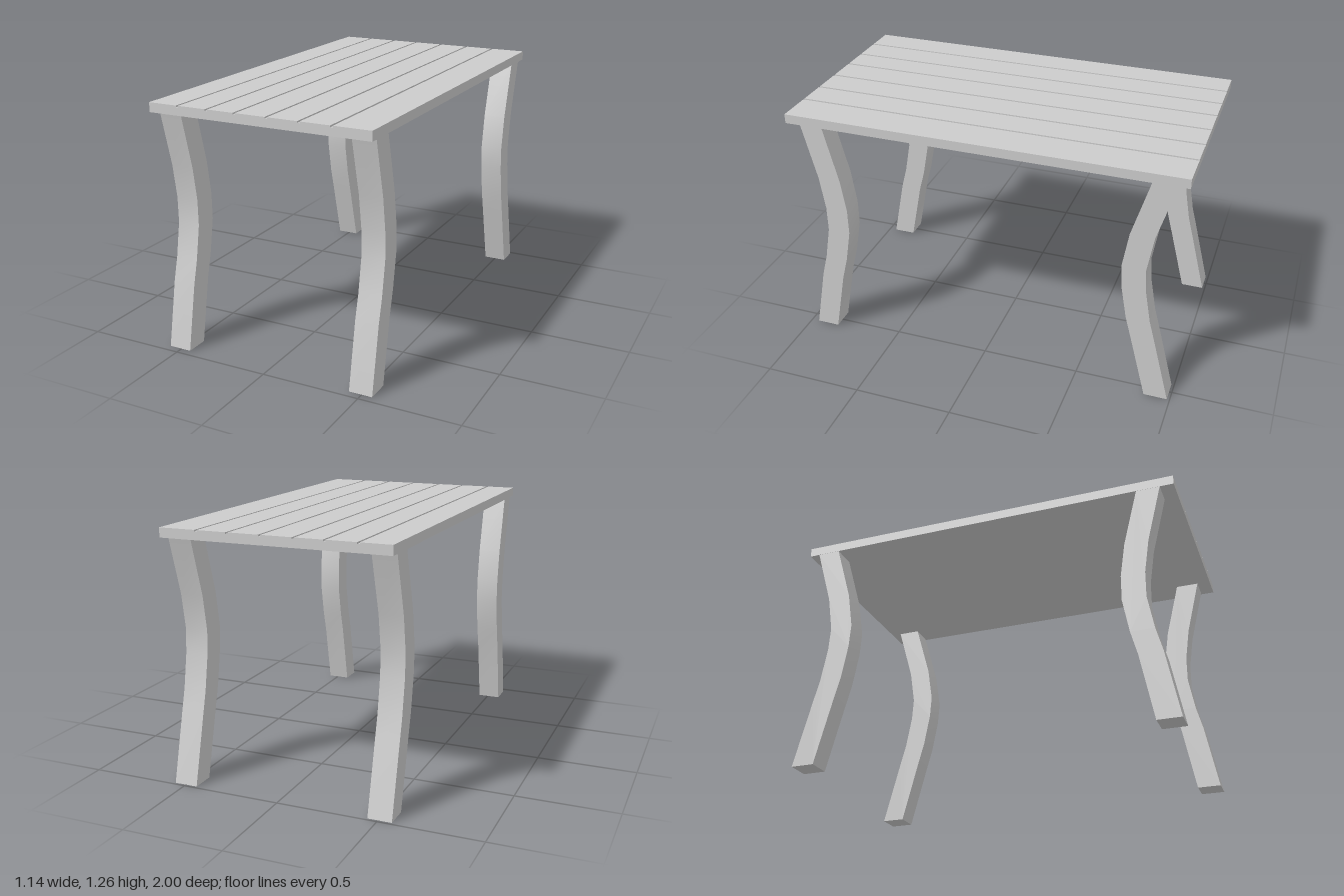
import * as THREE from 'three';
import { toCreasedNormals } from 'three/addons/utils/BufferGeometryUtils.js';

const TOP = 1.257, UNDER = 1.21, HALF_WIDTH = 0.568, LEG = 0.118;

// Bowed leg centre lines as [height, distance from the middle]
const FRONT = [[0, 0.901], [0.33, 0.837], [0.45, 0.805], [0.62, 0.774], [0.75, 0.775], [0.92, 0.8], [UNDER, 0.872]];
const BACK = [[0, 0.927], [0.33, 0.842], [0.45, 0.81], [0.62, 0.78], [0.74, 0.773], [0.92, 0.802], [UNDER, 0.888]];

// Side profile swept across x, then turned so that the profile lies in z and y
function legGeometry(line, sign) {
  const edge = (offset) => line.map(([y, z]) => new THREE.Vector2(sign * (z + offset), y));
  const shape = new THREE.Shape([...edge(LEG / 2), ...edge(-LEG / 2).reverse()]);
  const geometry = new THREE.ExtrudeGeometry(shape, { depth: LEG, bevelEnabled: false });
  geometry.translate(0, 0, -LEG / 2).rotateY(-Math.PI / 2);
  return toCreasedNormals(geometry, Math.PI / 6);
}

// Plank top: one slab with shallow grooves running along z
function topGeometry() {
  const shape = new THREE.Shape();
  const half = 0.006, depth = 0.008;
  shape.moveTo(-HALF_WIDTH, UNDER);
  shape.lineTo(HALF_WIDTH, UNDER);
  shape.lineTo(HALF_WIDTH, TOP);
  for (const x of [0.378, 0.218, 0.056, -0.108, -0.255, -0.412]) {
    shape.lineTo(x + half, TOP);
    shape.lineTo(x + half, TOP - depth);
    shape.lineTo(x - half, TOP - depth);
    shape.lineTo(x - half, TOP);
  }
  shape.lineTo(-HALF_WIDTH, TOP);
  shape.closePath();
  return new THREE.ExtrudeGeometry(shape, { depth: 2, bevelEnabled: false }).translate(0, 0, -1);
}

export function createModel() {
  const table = new THREE.Group();
  table.name = 'table';
  const material = new THREE.MeshStandardMaterial({ color: 0xcccccc });

  const add = (name, geometry, x = 0) => {
    const mesh = new THREE.Mesh(geometry, material);
    mesh.name = name;
    mesh.position.x = x;
    table.add(mesh);
  };

  add('plankTop', topGeometry());

  // Four legs, the back pair curving the opposite way
  const front = legGeometry(FRONT, 1);
  const back = legGeometry(BACK, -1);
  add('frontLeftLeg', front, 0.494);
  add('frontRightLeg', front, -0.508);
  add('backLeftLeg', back, 0.499);
  add('backRightLeg', back, -0.508);

  return table;
}
